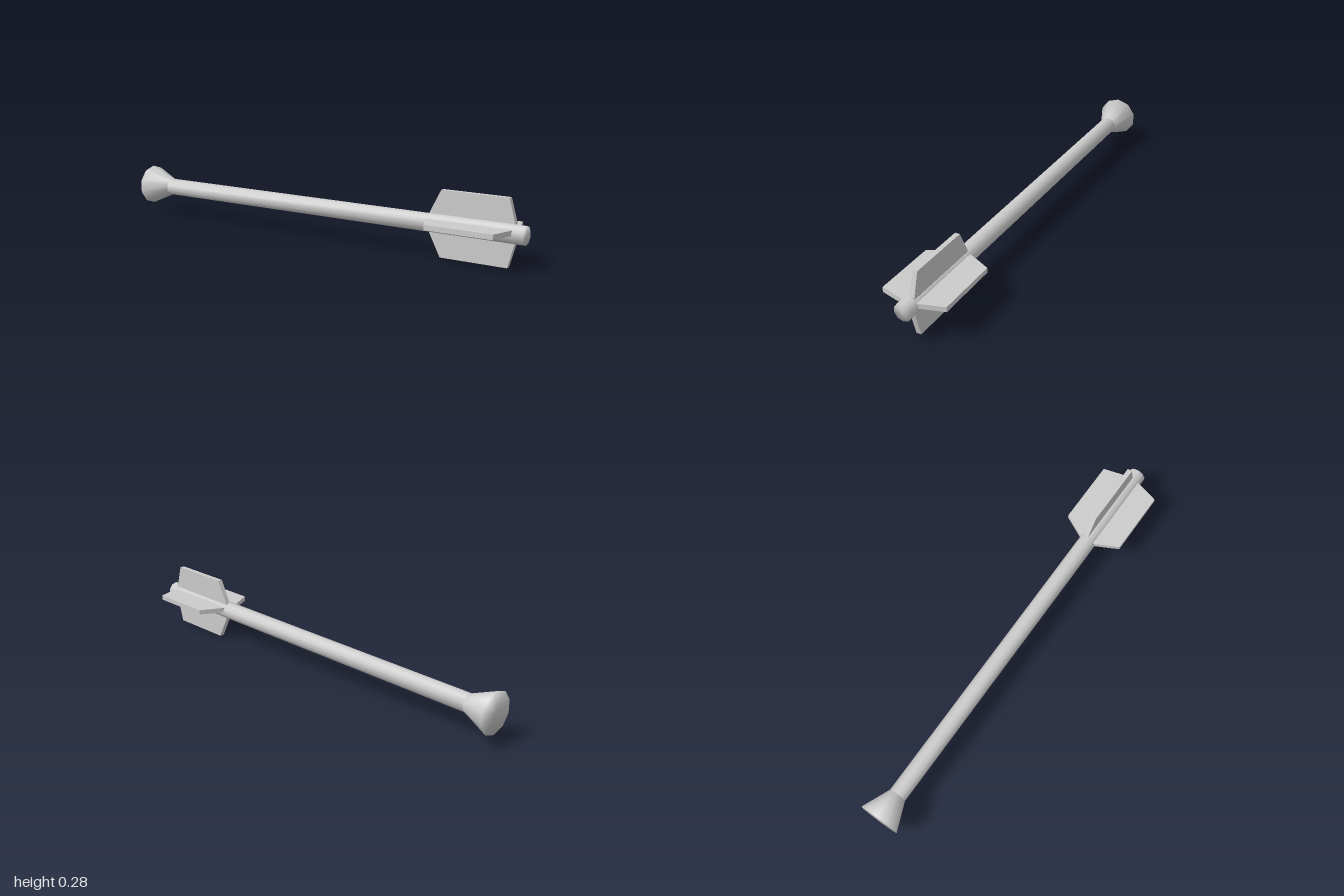
import * as THREE from 'three';
import { mergeVertices } from 'three/addons/utils/BufferGeometryUtils.js';

const AXIS_Y = 0.1425; // height of the shaft's axis
const SHAFT_R = 0.04;
const FIN_R = 0.1425;
const FIN_T = 0.022;

const material = new THREE.MeshStandardMaterial({ color: 0xcccccc, side: THREE.DoubleSide });

// Ten-sided solid along z from [radius, z] pairs, with normals shared over its rims
function turned(name, profile) {
  const points = profile.map(([r, z]) => new THREE.Vector2(r, z));
  let geometry = new THREE.LatheGeometry(points, 10);
  geometry.deleteAttribute('uv');
  geometry.deleteAttribute('normal');
  geometry = mergeVertices(geometry, 1e-4);
  geometry.computeVertexNormals();
  geometry.rotateX(Math.PI / 2);
  const mesh = new THREE.Mesh(geometry, material);
  mesh.name = name;
  mesh.position.y = AXIS_Y;
  return mesh;
}

// Flat plate through the shaft, forming a pair of opposite fins with swept ends
function finPair(name, angle) {
  const half = [[SHAFT_R, 0.57], [FIN_R, 0.623], [FIN_R, 0.923], [SHAFT_R, 0.952]];
  const outline = [...half, ...half.map(([x, z]) => [-x, z]).reverse()];
  const shape = new THREE.Shape(outline.map(([x, z]) => new THREE.Vector2(x, z)));
  const geometry = new THREE.ExtrudeGeometry(shape, { depth: FIN_T, bevelEnabled: false });
  geometry.rotateX(Math.PI / 2);
  geometry.rotateZ(angle);
  const mesh = new THREE.Mesh(geometry, material);
  mesh.name = name;
  mesh.position.y = AXIS_Y;
  return mesh;
}

export function createModel() {
  const model = new THREE.Group();
  model.name = 'arrow';

  // Long shaft, closed at the tail
  model.add(turned('shaft', [[SHAFT_R, -0.875], [SHAFT_R, 1], [0, 1]]));

  // Blunt flared head with a flat striking face
  model.add(turned('head', [[0, -1], [0.093, -1], [SHAFT_R, -0.873]]));

  // Crossed fins, each plate lying to one side of the axis
  const horizontal = finPair('horizontalFins', 0);
  horizontal.position.y += FIN_T;
  model.add(horizontal, finPair('verticalFins', Math.PI / 2));

  return model;
}
